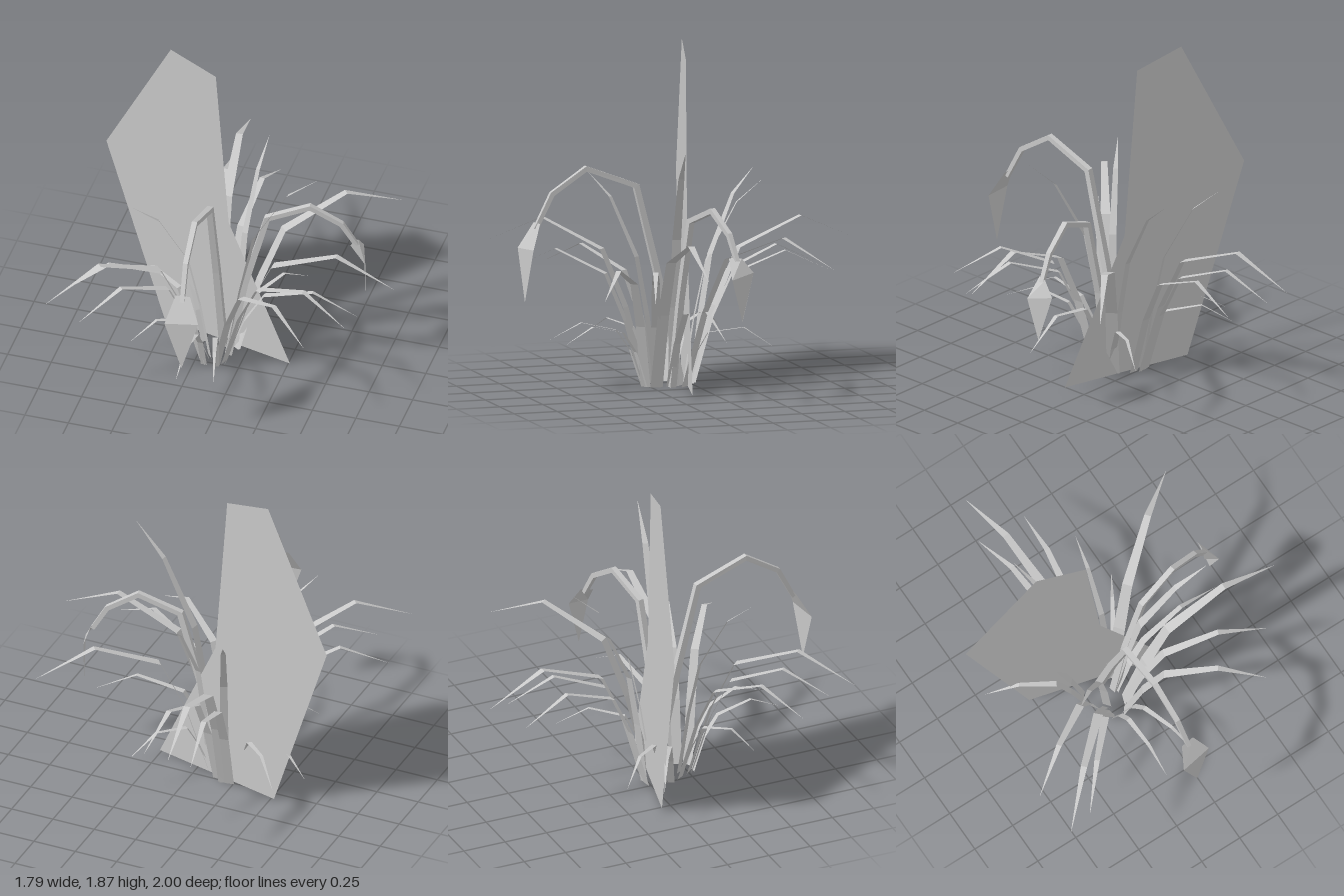
import * as THREE from 'three';

const grey = new THREE.MeshStandardMaterial({ color: 0xc8c8c8, side: THREE.DoubleSide, flatShading: true });
grey.name = 'plain grey';

// Skin a list of equally long cross-sections (arrays of Vector3)
function loft(sections, name, closed = false) {
  const n = sections[0].length, index = [];
  for (let i = 0; i < sections.length - 1; i++) {
    for (let j = 0; j < (closed ? n : n - 1); j++) {
      const a = i * n + j, b = i * n + (j + 1) % n;
      index.push(a, b, a + n, b, b + n, a + n);
    }
  }
  const geo = new THREE.BufferGeometry().setFromPoints(sections.flat());
  geo.setIndex(index);
  geo.computeVertexNormals();
  const mesh = new THREE.Mesh(geo, grey);
  mesh.name = name;
  return mesh;
}

// Blade shapes: distance along the blade, and heights at the five stations
const along = [0, 0.13, 0.28, 0.66, 1];
const taper = [1, 0.95, 0.82, 0.55, 0.02];
const heights = {
  tall: [0, 0.42, 0.735, 0.885, 0.735],
  mid: [0, 0.35, 0.605, 0.725, 0.595],
  short: [0, 0.17, 0.31, 0.345, 0.235],
  low: [0, 0.2, 0.315, 0.365, 0.28],
  arched: [0, 0.25, 0.43, 0.485, 0.35],
  upright: [0, 0.38, 0.7, 1.02, 1.15],
  upright2: [0, 0.45, 0.84, 1.21, 1.38],
};

// Flat ribbon rising from a root (x, z) and ending over a tip (x, z)
function blade(kind, rx, rz, tx, tz, width) {
  const dir = new THREE.Vector3(tx - rx, 0, tz - rz);
  const side = new THREE.Vector3(-dir.z, 0, dir.x).normalize();
  const sections = along.map((f, i) => {
    const c = new THREE.Vector3(rx, heights[kind][i], rz).addScaledVector(dir, f);
    const w = width * taper[i] / 2;
    return [c.clone().addScaledVector(side, -w), c.clone().addScaledVector(side, w)];
  });
  return loft(sections, kind.replace('2', '') + 'Blade');
}

// Four-sided stalk along a bent path that lies in one upright plane
function stalk(path, name) {
  const pts = path.map(p => new THREE.Vector3(...p));
  const last = pts.length - 1;
  const side = new THREE.Vector3(-(pts[last].z - pts[0].z), 0, pts[last].x - pts[0].x).normalize();
  const sections = pts.map((p, i) => {
    const t = pts[Math.min(i + 1, last)].clone().sub(pts[Math.max(i - 1, 0)]).normalize();
    const up = t.cross(side);
    const r = 0.02 - 0.008 * i / last;
    return [[1, 1], [-1, 1], [-1, -1], [1, -1]].map(([a, b]) =>
      p.clone().addScaledVector(side, a * r).addScaledVector(up, b * r));
  });
  return loft(sections, name, true);
}

// Bent flat head: top edge, widest edge, pointed tip
function head(rows, name) {
  return loft(rows.map(r => r.map(p => new THREE.Vector3(...p))), name);
}

export function createModel() {
  const model = new THREE.Group();
  model.name = 'plant';

  // Large upright leaf plate, turned slightly about the vertical
  const outline = [[-0.52, 0], [0.26, 0], [-0.12, 0.82], [-0.2, 1.795], [-0.48, 1.87], [-0.88, 1.08]];
  const turn = Math.atan(0.25), stretch = Math.hypot(1, 0.25);
  const plate = new THREE.Mesh(new THREE.ShapeGeometry(new THREE.Shape(
    outline.map(([x, y]) => new THREE.Vector2(x * stretch, y)))), grey);
  plate.name = 'largeLeaf';
  plate.rotation.y = -turn;
  plate.position.z = 0.07;
  model.add(plate);

  // Grass blades: kind, root x z, tip x z, width
  const blades = [
    ['tall', -0.2, -0.02, -0.31, -1.0, 0.07],
    ['tall', -0.06, 0.07, 0.7, -0.54, 0.07],
    ['tall', -0.08, 0.23, 0.89, 0.25, 0.07],
    ['tall', -0.2, 0.25, -0.9, 0.93, 0.065],
    ['mid', -0.23, -0.02, -0.36, -0.81, 0.055],
    ['mid', -0.15, 0, -0.07, -0.79, 0.055],
    ['mid', -0.09, 0.23, 0.68, 0.49, 0.055],
    ['mid', -0.12, 0.28, 0.52, 0.73, 0.055],
    ['mid', -0.2, 0.27, -0.73, 0.86, 0.055],
    ['mid', -0.24, 0.18, -0.9, 0.62, 0.055],
    ['short', -0.06, 0.09, 0.22, -0.36, 0.035],
    ['short', -0.27, 0.11, -0.75, -0.15, 0.04],
    ['short', -0.25, 0.08, -0.63, -0.32, 0.035],
    ['short', -0.18, 0.22, -0.55, 0.5, 0.035],
    ['low', -0.12, 0.28, 0.02, 0.79, 0.035],
    ['low', -0.19, 0.28, -0.19, 0.81, 0.035],
    ['arched', -0.09, 0.15, 0.62, 0.06, 0.045],
    ['upright', -0.2, -0.02, -0.38, -0.43, 0.05],
    ['upright', -0.07, 0.08, -0.01, -0.37, 0.04],
    ['upright', -0.18, 0.2, -0.54, 0.48, 0.05],
    ['upright2', -0.09, 0.13, 0.45, 0.24, 0.06],
  ];
  blades.forEach(b => model.add(blade(...b)));

  // Two drooping stalks
  model.add(stalk([[-0.14, 0, 0.07], [-0.14, 0.6, 0.2], [-0.14, 1.12, 0.33], [-0.14, 1.23, 0.62],
    [-0.13, 1.1, 0.82], [-0.12, 0.91, 0.92]], 'frontStalk'));
  model.add(stalk([[-0.09, 0, 0.14], [0, 0.5, 0.12], [0.12, 0.95, 0.1], [0.35, 1.04, 0.05],
    [0.52, 0.93, 0.01], [0.6, 0.79, -0.01]], 'sideStalk'));

  // Their flat pointed heads
  model.add(head([
    [[-0.16, 0.945, 0.915], [-0.08, 0.945, 0.905]],
    [[-0.2, 0.8, 0.995], [-0.015, 0.81, 0.965]],
    [[-0.106, 0.51, 0.985], [-0.104, 0.51, 0.985]]], 'frontHead'));
  model.add(head([
    [[0.575, 0.81, 0.03], [0.6, 0.81, -0.035]],
    [[0.665, 0.7, 0.04], [0.615, 0.73, -0.1]],
    [[0.645, 0.465, -0.024], [0.645, 0.465, -0.026]]], 'sideHead'));

  return model;
}
